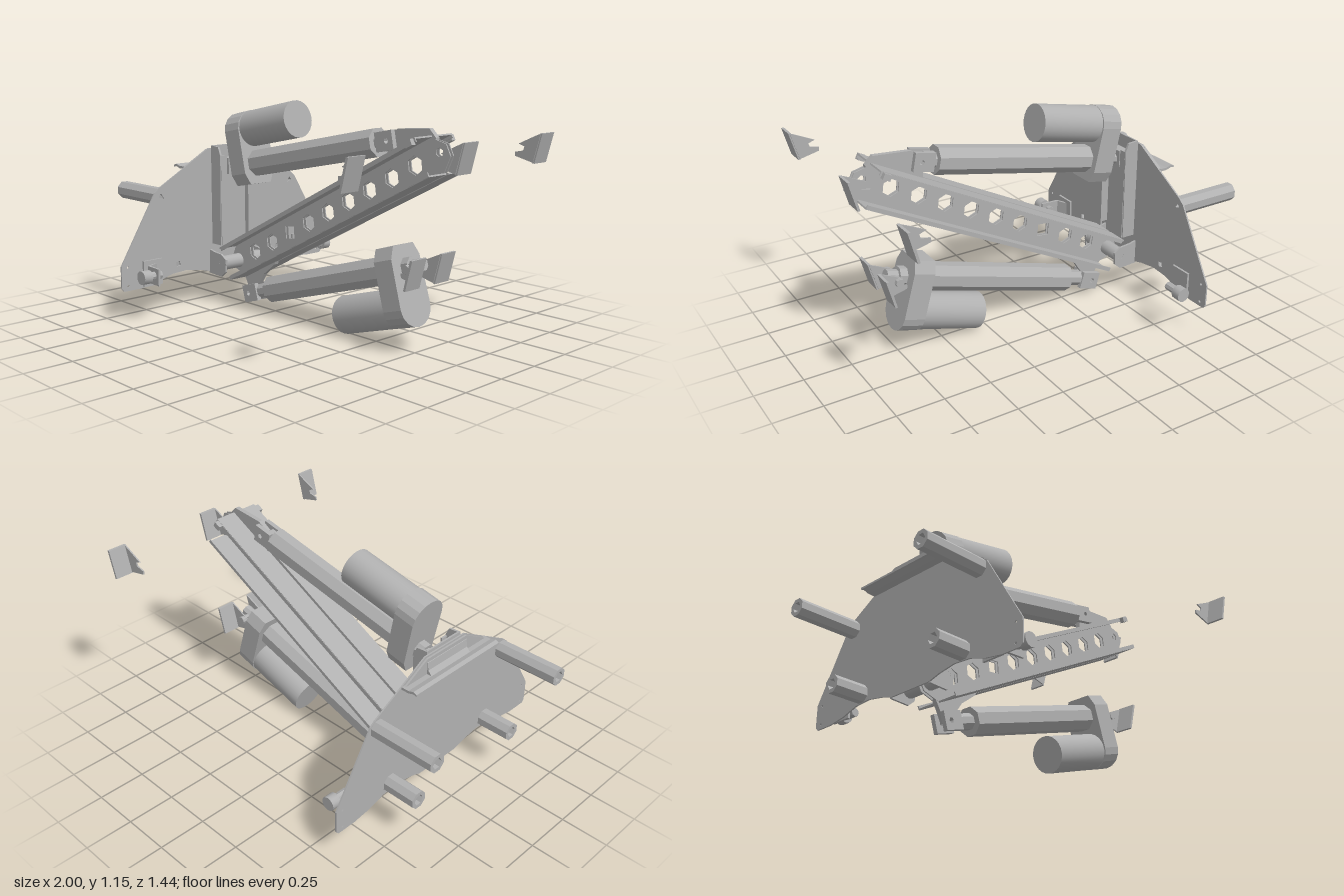
import * as THREE from 'three';
import { toCreasedNormals } from 'three/addons/utils/BufferGeometryUtils.js';

const grey = new THREE.MeshStandardMaterial({ color: 0xb0b0b0, side: THREE.DoubleSide });
grey.name = 'plain grey';

function add(parent, name, geo, x = 0, y = 0, z = 0) {
  const mesh = new THREE.Mesh(geo, grey);
  mesh.name = name;
  mesh.position.set(x, y, z);
  parent.add(mesh);
  return mesh;
}

function part(parent, name, x = 0, y = 0, z = 0, angle = 0) {
  const group = new THREE.Group();
  group.name = name;
  group.position.set(x, y, z);
  group.rotation.z = angle;
  parent.add(group);
  return group;
}

const vec = (pts) => pts.map(([x, y]) => new THREE.Vector2(x, y));
const box = (x, y, z) => new THREE.BoxGeometry(x, y, z);
const ring = (x, y, r, n, turn = 0) => Array.from({ length: n }, (_, i) => {
  const a = turn + (i / n) * Math.PI * 2;
  return [x + r * Math.cos(a), y + r * Math.sin(a)];
});

// Sheet drawn in x, y and centred on z
function sheet(pts, depth, holes = []) {
  const shape = new THREE.Shape(vec(pts));
  for (const h of holes) shape.holes.push(new THREE.Path(vec(h)));
  return new THREE.ExtrudeGeometry(shape, { depth, bevelEnabled: false }).translate(0, 0, -depth / 2);
}

// Sheet drawn in z, y and centred on x
const wallSheet = (pts, depth, holes) => sheet(pts, depth, holes).rotateY(-Math.PI / 2);

// Cylinder along x from a to b
function rod(a, b, r, n) {
  const g = new THREE.CylinderGeometry(r, r, b - a, n).rotateY(Math.PI / n).rotateZ(-Math.PI / 2);
  return toCreasedNormals(g.translate((a + b) / 2, 0, 0), 0.5);
}
// Cylinder along z
const pin = (r, len, n = 12) =>
  toCreasedNormals(new THREE.CylinderGeometry(r, r, len, n).rotateX(Math.PI / 2), 0.6);

// Slanted mounting ear: sloping flange plus a notched web
function ear(parent, name, x, y, z, side) {
  const g = part(parent, name, x, y, z);
  add(g, 'earFlange', sheet([[-0.02, -0.078], [-0.008, -0.08], [0.032, 0.07], [0.018, 0.07]], 0.1),
    0, 0, side * 0.05);
  add(g, 'earWeb', sheet([[-0.015, -0.075], [0.025, 0.07], [-0.02, 0.05], [-0.1, 0.012],
    [-0.066, 0], [-0.072, -0.02], [-0.12, -0.03], [-0.12, -0.05]], 0.008));
}

// Linear actuator: u runs along the rod, v towards the motor
function actuator(parent, name, x, y, angle, tubeEnd, rodEnd) {
  const g = part(parent, name, x, y, 0, angle);
  const outline = [[-0.07, -0.11], [0.07, -0.11], [0.1, -0.05], [0.105, 0.19]];
  for (let i = 1; i < 8; i++) {
    const a = (i / 8) * Math.PI;
    outline.push([0.105 * Math.cos(a), 0.19 + 0.097 * Math.sin(a)]);
  }
  outline.push([-0.105, 0.19], [-0.1, -0.05]);
  add(g, 'gearbox', wallSheet(outline, 0.115));
  add(g, 'motor', rod(0.05, 0.42, 0.097, 24), 0, 0.188);
  add(g, 'outerTube', rod(0.05, tubeEnd, 0.074, 8));
  add(g, 'pistonRod', rod(tubeEnd, rodEnd - 0.07, 0.042, 8));
  // Forked rod end
  const m = rodEnd - 0.05;
  for (const s of [-1, 1]) {
    add(g, 'rodFork', sheet([[m - 0.06, -0.047], [m + 0.05, -0.047], [m + 0.05, 0.047], [m - 0.06, 0.047]],
      0.025, [ring(m + 0.01, 0, 0.014, 6)]), 0, 0, s * 0.034);
  }
  // Rear swivel
  add(g, 'rearBoss', rod(-0.1, -0.05, 0.05, 8));
  add(g, 'rearEye', rod(-0.16, -0.09, 0.032, 8));
}

function backPlate(root) {
  const g = part(root, 'backPlateAssembly');
  const half = [[0.13, 0.17], [0.2, 0.19], [0.3, 0.207], [0.4, 0.2], [0.5, 0.17], [0.6, 0.155], [0.705, 0.155],
    [0.72, 0.17], [0.72, 0.29], [0.5, 0.655], [0.47, 0.68], [0.14, 0.865]];
  const outline = [...half, ...half.map(([z, y]) => [-z, y]).reverse()];
  const holes = [];
  for (const s of [-1, 1]) {
    holes.push([[0.44 * s, 0.62], [0.475 * s, 0.63], [0.46 * s, 0.65]]);
    holes.push(ring(0.357 * s, 0.25, 0.018, 4, 0.6), ring(0.68 * s, 0.18, 0.008, 4), ring(0.68 * s, 0.28, 0.008, 4));
  }
  add(g, 'backPlate', wallSheet(outline, 0.008, holes), -0.645);

  // Bent top lip
  add(g, 'topLip', sheet([[-0.74, 0.77], [-0.72, 0.775], [-0.69, 0.765], [-0.65, 0.765], [-0.65, 0.778],
    [-0.69, 0.778], [-0.72, 0.787], [-0.74, 0.78]], 0.6));
  add(g, 'lipGusset', wallSheet([[-0.3, 0.77], [0.3, 0.77], [0.14, 0.86], [-0.14, 0.86]], 0.01), -0.658);
  add(g, 'lipBrace', sheet([[-0.69, 0.778], [-0.65, 0.778], [-0.65, 0.85], [-0.665, 0.84], [-0.67, 0.8]], 0.28));

  // Upright channel in front of the plate
  for (const s of [-1, 1]) {
    add(g, 'channelWall', sheet([[-0.64, 0.33], [-0.565, 0.33], [-0.56, 0.83], [-0.58, 0.875], [-0.64, 0.88]],
      0.012), 0, 0, s * 0.115);
    add(g, 'channelFlange', box(0.01, 0.5, 0.04), -0.565, 0.58, s * 0.095);
  }
  add(g, 'channelFloor', box(0.01, 0.55, 0.23), -0.635, 0.605);
  add(g, 'swivelMount', box(0.06, 0.09, 0.1), -0.605, 0.765);

  for (const s of [-1, 1]) {
    // Hollow standoffs behind the plate
    const tube = (r, len) => wallSheet(ring(0, 0, r, 8, Math.PI / 8), len, [ring(0, 0, r * 0.6, 6)]);
    add(g, 'upperStandoff', tube(0.048, 0.355), -0.8225, 0.63, s * 0.453);
    add(g, 'lowerStandoff', tube(0.048, 0.185), -0.7375, 0.25, s * 0.357);

    // Outer pivot brackets and pins
    add(g, 'pivotFlange', box(0.012, 0.14, 0.12), -0.633, 0.232, s * 0.53);
    add(g, 'pivotHead', pin(0.037, 0.05), -0.54, 0.24, s * 0.642);
    add(g, 'pivotNeck', pin(0.022, 0.08, 8), -0.54, 0.24, s * 0.585);
    // Central hinge ears
    add(g, 'hingeEar', sheet([[-0.645, 0.165], [-0.54, 0.16], [-0.505, 0.19], [-0.5, 0.26], [-0.54, 0.285],
      [-0.6, 0.29], [-0.645, 0.3]], 0.012, [ring(-0.54, 0.235, 0.02, 8)]), 0, 0, s * 0.135);
  }
  // Bent arm reaching the left pivot pin
  add(g, 'pivotArm', sheet([[-0.63, -0.5], [-0.6, -0.565], [-0.5, -0.575], [-0.5, -0.587], [-0.605, -0.58],
    [-0.64, -0.51]], 0.09).rotateX(-Math.PI / 2), 0, 0.235);
}

// Beam of two back-to-back channels: pierced centre webs with flanges to each side
function beam(root) {
  const g = part(root, 'perforatedBeam', -0.54, 0.235, 0, 0.475);
  const holes = [];
  for (let i = 0; i < 9; i++) holes.push(ring(0.157 + i * 0.1603, 0, 0.047, i === 2 ? 4 : 6, i === 2 ? 0.4 : 0.2));
  holes.push(ring(1.6, 0, 0.022, 6));
  const web = [[-0.05, -0.03], [0.02, -0.1], [1.58, -0.095], [1.65, -0.04], [1.65, 0.02], [1.58, 0.08], [0.01, 0.08],
    [-0.05, 0.03]];
  for (const s of [-1, 1]) {
    add(g, 'beamWeb', sheet(web, 0.006, holes), 0, 0, s * 0.01);
    add(g, 'lowerFlange', box(1.57, 0.008, 0.121), 0.805, -0.1, s * 0.0675);
    add(g, 'upperFlange', box(1.58, 0.008, 0.121), 0.8, 0.083, s * 0.0675);
    add(g, 'upperLip', box(1.57, 0.02, 0.006), 0.805, 0.075, s * 0.127);
    add(g, 'lowerLip', box(1.57, 0.02, 0.006), 0.805, -0.092, s * 0.127);
    add(g, 'tipLug', box(0.04, 0.03, 0.025), 1.56, 0.07, s * 0.14);
  }
  add(g, 'basePin', pin(0.04, 0.28));

  // Central tongues that the actuator forks straddle
  add(root, 'upperTongue', sheet([[0.57, 0.9], [0.86, 1.0], [0.86, 1.03], [0.82, 1.07], [0.63, 1.055], [0.57, 1.02]],
    0.025));
  add(root, 'lowerTongue', sheet([[-0.5, 0.17], [-0.23, 0.285], [-0.24, 0.26], [-0.33, 0.19], [-0.4, 0.08],
    [-0.44, 0.06], [-0.47, 0.12]], 0.025));
}

export function createModel() {
  const root = new THREE.Group();
  root.name = 'actuatedLiftArm';

  backPlate(root);
  beam(root);
  actuator(root, 'upperActuator', -0.44, 0.786, 0.203, 0.965, 1.09);
  actuator(root, 'lowerActuator', 0.64, 0.39, Math.PI + 0.292, 0.95, 1.15);

  // Mounting ears at the arm tip, outboard, and on the lower actuator
  ear(root, 'tipEar', 0.965, 0.945, -0.022, -1);
  ear(root, 'leftOuterEar', 0.965, 0.945, 0.612, 1);
  ear(root, 'rightOuterEar', 0.965, 0.945, -0.617, -1);
  for (const s of [-1, 1]) ear(root, 'lowerActuatorEar', 0.825, 0.415, s * 0.055, s);
  add(root, 'earPin', pin(0.022, 0.16, 8), 0.75, 0.415);

  return root;
}
